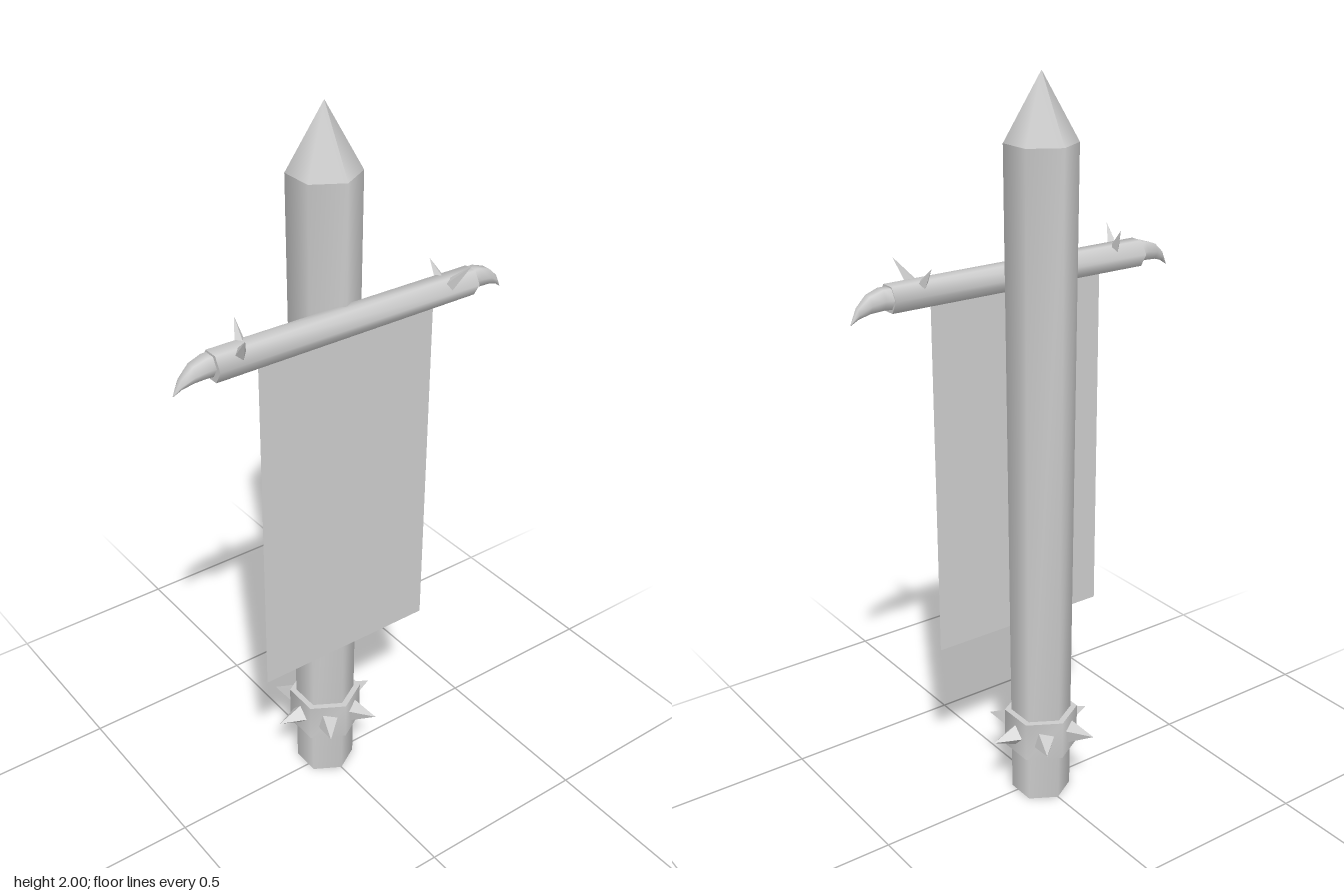
import * as THREE from 'three';
import { toCreasedNormals } from 'three/addons/utils/BufferGeometryUtils.js';

const grey = new THREE.MeshStandardMaterial({ color: 0xcccccc });
const greyCloth = new THREE.MeshStandardMaterial({ color: 0xcccccc, side: THREE.DoubleSide });
grey.name = 'grey';
greyCloth.name = 'grey cloth';

const POLE_Z = -0.014;
const BAR_Y = 1.485, BAR_Z = 0.084;

function add(group, name, geometry, material = grey) {
  const mesh = new THREE.Mesh(geometry, material);
  mesh.name = name;
  group.add(mesh);
  return mesh;
}

// Pyramid spike from a base centre to a tip
function addSpike(group, name, base, tip, radius, sides = 4) {
  const a = new THREE.Vector3(...base), b = new THREE.Vector3(...tip);
  const dir = b.clone().sub(a);
  const geo = new THREE.ConeGeometry(radius, dir.length(), sides);
  const mesh = add(group, name, toCreasedNormals(geo, 0.6));
  mesh.position.copy(a).add(b).multiplyScalar(0.5);
  mesh.quaternion.setFromUnitVectors(new THREE.Vector3(0, 1, 0), dir.normalize());
}

// Drooping horn: rings of [x, y, half height, half depth], ending in a point
function hornGeometry(side) {
  const rings = [
    [0.375, 1.488, 0.030, 0.030], [0.405, 1.489, 0.029, 0.029],
    [0.440, 1.482, 0.024, 0.024], [0.470, 1.464, 0.014, 0.014], [0.490, 1.438, 0.001, 0.001],
  ];
  const n = 6, pos = [], idx = [];
  for (const [x, y, h, d] of rings)
    for (let i = 0; i < n; i++) {
      const t = (i / n) * Math.PI * 2;
      pos.push(side * x, y + h * Math.sin(t), BAR_Z - 0.004 + d * Math.cos(t));
    }
  for (let r = 0; r < rings.length - 1; r++)
    for (let i = 0; i < n; i++) {
      const a = r * n + i, b = r * n + (i + 1) % n, c = a + n, d = b + n;
      if (side > 0) idx.push(a, c, b, b, c, d);
      else idx.push(a, b, c, b, d, c);
    }
  const geo = new THREE.BufferGeometry();
  geo.setAttribute('position', new THREE.Float32BufferAttribute(pos, 3));
  geo.setIndex(idx);
  geo.computeVertexNormals();
  return geo;
}

export function createModel() {
  const group = new THREE.Group();
  group.name = 'bannerPost';

  // Tapered six-sided post with a pointed top
  const post = add(group, 'post', toCreasedNormals(new THREE.CylinderGeometry(0.093, 0.082, 1.83, 6), 1.2));
  post.position.set(0, 0.915, POLE_Z);
  const point = add(group, 'postPoint', new THREE.ConeGeometry(0.093, 0.17, 6, 1, true));
  point.position.set(0, 1.915, POLE_Z);

  // Spiked collar near the foot
  const collar = add(group, 'collar', toCreasedNormals(new THREE.CylinderGeometry(0.102, 0.102, 0.112, 6), 1.2));
  collar.position.set(0, 0.198, POLE_Z);
  for (let i = 0; i < 6; i++) {
    const t = (i * Math.PI) / 3, c = Math.cos(t), s = Math.sin(t);
    addSpike(group, 'collarSpike', [0.086 * c, 0.198, POLE_Z + 0.086 * s],
      [0.16 * c, 0.198, POLE_Z + 0.16 * s], 0.032);
  }

  // Crossbar with horned ends
  const bar = add(group, 'crossbar', toCreasedNormals(new THREE.CylinderGeometry(0.038, 0.04, 0.772, 6), 1.2));
  bar.rotation.z = -Math.PI / 2;
  bar.position.set(-0.003, BAR_Y, BAR_Z);
  for (const side of [1, -1]) add(group, side > 0 ? 'leftHorn' : 'rightHorn', hornGeometry(side));

  // Small spikes on the bar
  addSpike(group, 'barSpike', [0.297, 1.497, 0.100], [0.327, 1.565, 0.152], 0.018);
  addSpike(group, 'barSpike', [0.298, 1.497, 0.075], [0.288, 1.553, 0.036], 0.018);
  addSpike(group, 'barSpike', [-0.322, 1.497, 0.100], [-0.337, 1.56, 0.150], 0.018);
  addSpike(group, 'barSpike', [-0.300, 1.497, 0.075], [-0.293, 1.565, 0.036], 0.018);

  // Hanging cloth
  const cloth = add(group, 'banner', new THREE.PlaneGeometry(0.526, 0.99), greyCloth);
  cloth.position.set(-0.001, 0.975, 0.087);

  return group;
}
